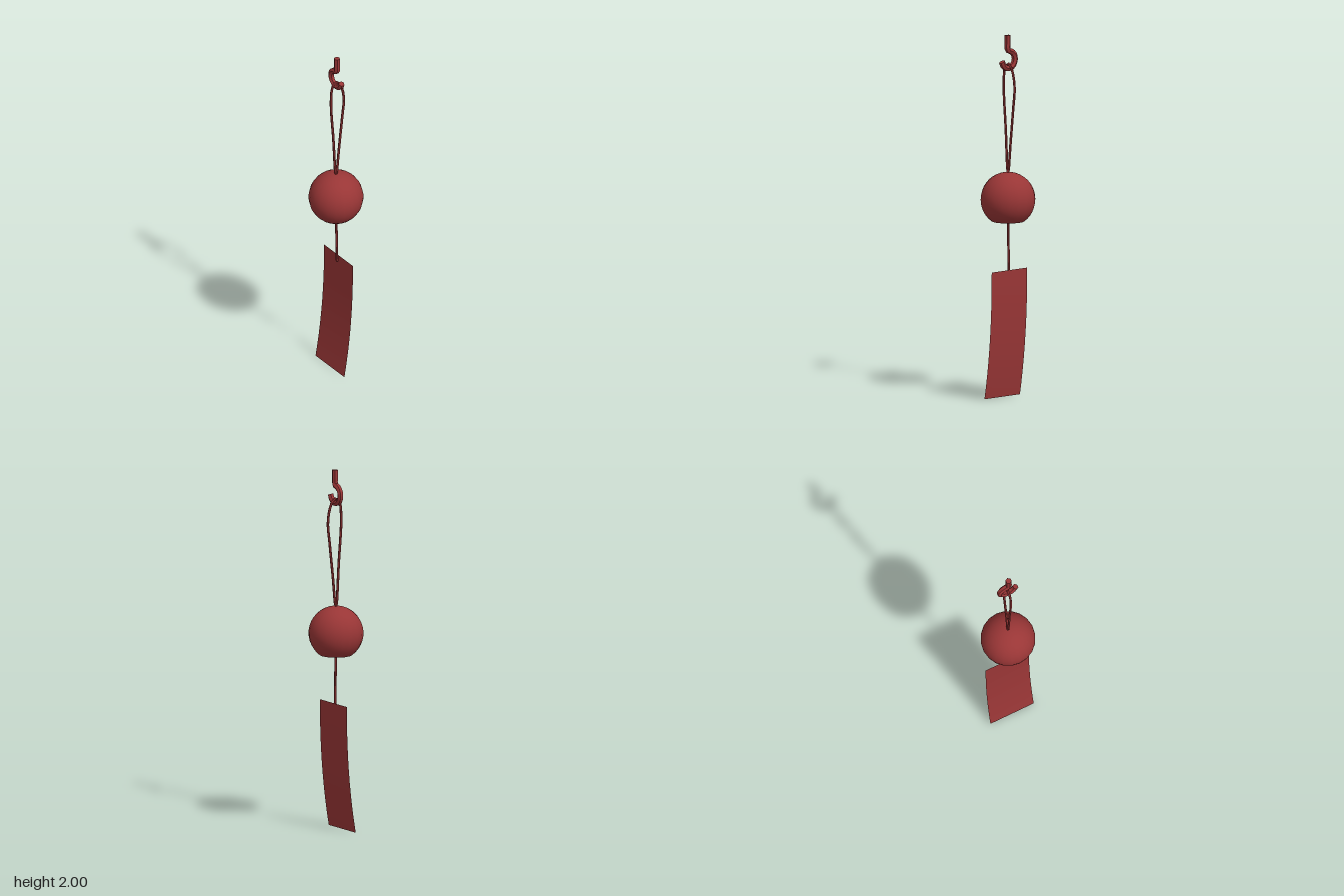
import * as THREE from 'three';

const COLOR = 0x993636;

function material(flatShading = false) {
  return new THREE.MeshStandardMaterial({ color: COLOR, flatShading, side: THREE.DoubleSide });
}

// Closed-ended round bar following a list of [x, y, z] points
function bar(name, points, radius, segments, sides, closed = false) {
  const group = new THREE.Group();
  group.name = name;
  const curve = new THREE.CatmullRomCurve3(points.map(p => new THREE.Vector3(...p)), closed, 'centripetal');
  const mat = material(true);
  group.add(new THREE.Mesh(new THREE.TubeGeometry(curve, segments, radius, sides, closed), mat));
  if (!closed) {
    const frames = curve.computeFrenetFrames(segments, false);
    for (const [t, i, sign] of [[0, 0, -1], [1, segments, 1]]) {
      const cap = new THREE.Mesh(new THREE.CircleGeometry(radius, sides), mat);
      // Line the cap up with the corners of the bar
      const tangent = frames.tangents[i].clone().multiplyScalar(sign);
      const xAxis = frames.normals[i].clone().negate();
      const yAxis = new THREE.Vector3().crossVectors(tangent, xAxis);
      cap.quaternion.setFromRotationMatrix(new THREE.Matrix4().makeBasis(xAxis, yAxis, tangent));
      cap.position.copy(curve.getPointAt(t));
      group.add(cap);
    }
  }
  group.children.forEach(m => { m.name = name; });
  return group;
}

export function createModel() {
  const model = new THREE.Group();
  model.name = 'windChime';

  // Ceiling hook: straight shank, then an open ring
  const hookPoints = [[0.005, 2, -0.003], [0.005, 1.96, -0.003], [0.005, 1.925, -0.003], [0, 1.915, -0.003]];
  for (let deg = 110; deg <= 350; deg += 30) {
    const a = THREE.MathUtils.degToRad(deg);
    hookPoints.push([0.048 * Math.cos(a), 1.865 + 0.048 * Math.sin(a), -0.003]);
  }
  model.add(bar('hook', hookPoints, 0.017, 28, 6));

  // Hanging loop of cord, running through the hook
  model.add(bar('cordLoop', [
    [0, 1.23, 0], [0, 1.48, 0.018], [0, 1.73, 0.034], [0, 1.82, 0.024], [0, 1.84, 0.008],
    [0, 1.84, -0.014], [0, 1.79, -0.04], [0, 1.71, -0.053], [0, 1.6, -0.042], [0, 1.42, -0.022],
  ], 0.007, 40, 6, true));

  // Bell: hollow globe with an open bottom
  const bell = new THREE.Mesh(
    new THREE.SphereGeometry(0.15, 20, 16, 0, Math.PI * 2, 0, Math.PI * 0.795), material());
  bell.name = 'bell';
  bell.position.y = 1.094;
  model.add(bell);

  // Cord through the bell down to the paper
  model.add(bar('lowerCord', [[0, 1.24, 0], [0, 0.95, -0.002], [0, 0.67, -0.007]], 0.007, 6, 6));

  // Paper strip, drifting forward towards its lower edge
  const paperGeometry = new THREE.PlaneGeometry(0.264, 0.705, 1, 10);
  const pos = paperGeometry.attributes.position;
  for (let i = 0; i < pos.count; i++) {
    const t = 0.5 - pos.getY(i) / 0.705;
    pos.setZ(i, -0.015 + 0.058 * Math.pow(t, 2.2));
  }
  paperGeometry.computeVertexNormals();
  const paper = new THREE.Mesh(paperGeometry, material());
  paper.name = 'paperStrip';
  paper.position.set(0.003, 0.3525, 0);
  model.add(paper);

  return model;
}
